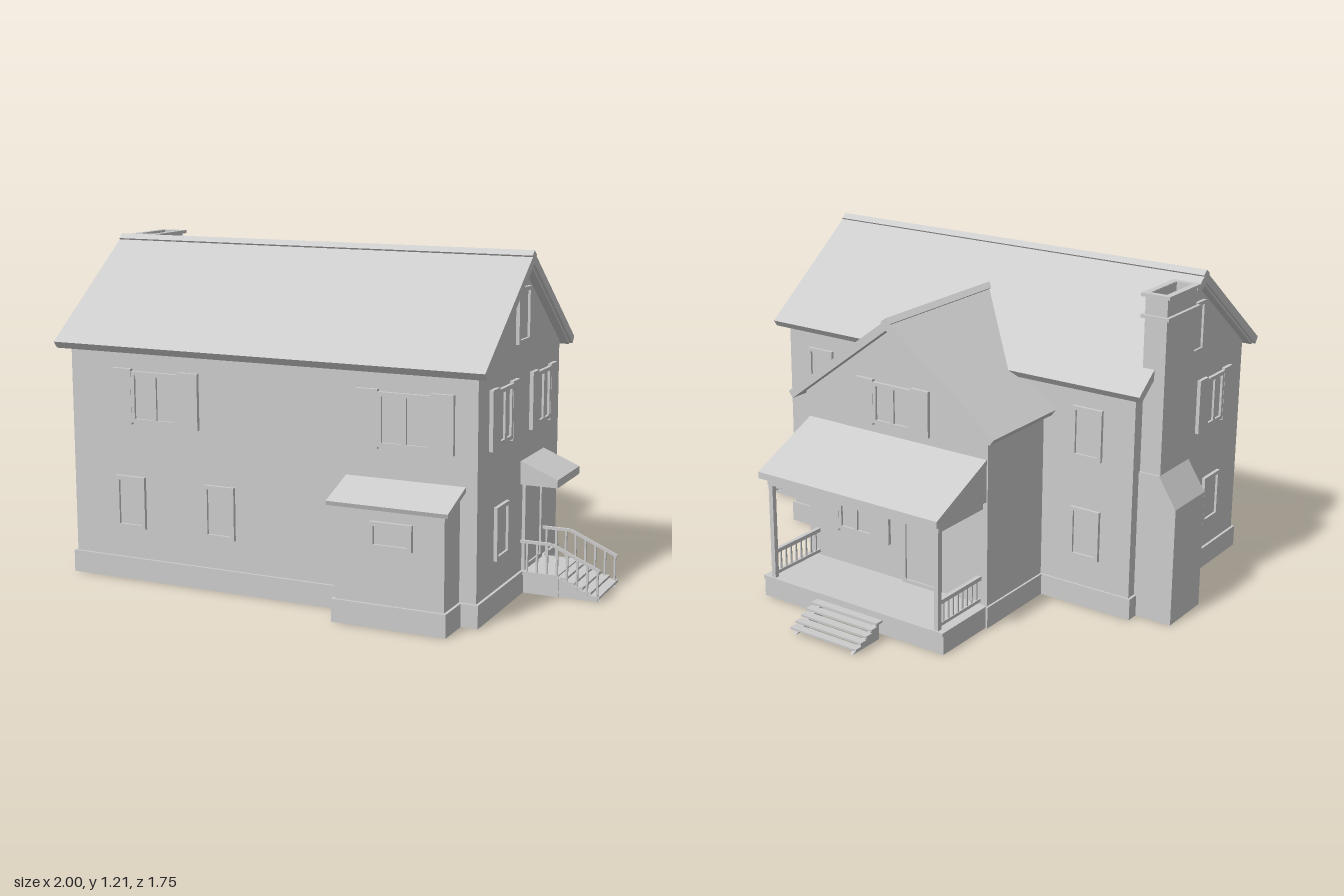
import * as THREE from 'three';

const mat = new THREE.MeshStandardMaterial({ color: 0xcccccc, flatShading: true, side: THREE.DoubleSide });
const SLOPE = 0.755;

export function createModel() {
  const house = new THREE.Group();
  house.name = 'house';

  const add = (name, geo, parent = house) => {
    const m = new THREE.Mesh(geo, mat);
    m.name = name;
    parent.add(m);
    return m;
  };
  const group = (name, x = 0, y = 0, z = 0, ry = 0, parent = house) => {
    const g = new THREE.Group();
    g.name = name;
    g.position.set(x, y, z);
    g.rotation.y = ry;
    parent.add(g);
    return g;
  };
  // Box given by its limits
  const box = (name, x0, x1, y0, y1, z0, z1, parent) =>
    add(name, new THREE.BoxGeometry(x1 - x0, y1 - y0, z1 - z0)
      .translate((x0 + x1) / 2, (y0 + y1) / 2, (z0 + z1) / 2), parent);
  // Square bar between two points
  const bar = (name, a, b, w, parent) => {
    const p = new THREE.Vector3(...a), q = new THREE.Vector3(...b);
    const m = new THREE.Mesh(new THREE.BoxGeometry(w, w, p.distanceTo(q)), mat);
    m.name = name;
    m.position.copy(p).lerp(q, 0.5);
    m.lookAt(q);
    parent.add(m);
  };
  const outline = (pts) => new THREE.Shape(pts.map((p) => new THREE.Vector2(...p)));
  const rect = (x0, x1, y0, y1) => outline([[x0, y0], [x1, y0], [x1, y1], [x0, y1]]);
  const ring = (x0, x1, y0, y1, t, depth) => {
    const s = rect(x0, x1, y0, y1);
    s.holes.push(rect(x0 + t, x1 - t, y0 + t, y1 - t));
    return new THREE.ExtrudeGeometry(s, { depth, bevelEnabled: false });
  };
  // Profiles swept along z (x, y points) or along x (z, y points)
  const prismZ = (pts, z0, z1) =>
    new THREE.ExtrudeGeometry(outline(pts), { depth: z1 - z0, bevelEnabled: false }).translate(0, 0, z0);
  const prismX = (pts, x0, x1) =>
    prismZ(pts, 0, x1 - x0).rotateY(-Math.PI / 2).translate(x1, 0, 0);
  // Drops the faces lying at height y, leaving the shell open underneath
  const openAt = (geo, y) => {
    const g = geo.index ? geo.toNonIndexed() : geo;
    const p = g.attributes.position, keep = [];
    for (let i = 0; i < p.count; i += 3) {
      if ([0, 1, 2].some((k) => Math.abs(p.getY(i + k) - y) > 1e-4)) keep.push(i, i + 1, i + 2);
    }
    g.setIndex(keep);
    return g;
  };
  const foundation = (x0, x1, z0, z1) =>
    add('foundation', ring(x0, x1, -z1, -z0, 0.015, 0.08).rotateX(-Math.PI / 2));

  const gable = (c, half, peak) => [[c - half, 0.08], [c + half, 0.08],
    [c + half, peak - half * SLOPE], [c, peak], [c - half, peak - half * SLOPE]];
  const chevron = (c, half, peak, t) => {
    const e = peak - half * SLOPE, dx = t * 0.6, dy = t * 0.8;
    return [[c, peak], [c - half, e], [c - half + dx, e - dy], [c, peak - t * 1.25],
      [c + half - dx, e - dy], [c + half, e]];
  };

  // Main block
  foundation(-0.86, 0.72, -0.098, 0.73);
  add('mainWalls', openAt(prismX(gable(0.315, 0.405, 1.166), -0.85, 0.71), 0.08));
  add('mainRoof', prismX(chevron(0.315, 0.455, 1.197, 0.03), -0.89, 0.75));
  add('mainRakeBoards', prismX(chevron(0.315, 0.44, 1.18, 0.025), -0.88, 0.74));
  add('mainRidgeCap', prismX(chevron(0.315, 0.022, 1.205, 0.01), -0.89, 0.75));

  // Rear wing, its roof running into the main roof
  foundation(-0.488, 0.338, -0.448, -0.09);
  add('wingWalls', openAt(prismZ(gable(-0.075, 0.405, 1.038), -0.44, -0.09), 0.08));
  const intoRoof = (geo) => {
    const p = geo.attributes.position;
    for (let i = 0; i < p.count; i++) {
      if (p.getZ(i) > 0) p.setZ(i, Math.max(-0.09, 0.315 - (1.197 - p.getY(i)) / SLOPE));
    }
    return geo;
  };
  add('wingRoof', intoRoof(prismZ(chevron(-0.075, 0.455, 1.068, 0.03), -0.48, 0.14)));
  add('wingRidgeCap', intoRoof(prismZ(chevron(-0.075, 0.022, 1.075, 0.01), -0.48, 0.14)));

  // Front lean-to
  foundation(0.25, 0.66, 0.72, 0.86);
  add('leanToWalls', openAt(prismX([[0.72, 0.08], [0.85, 0.08], [0.85, 0.4], [0.72, 0.44]], 0.26, 0.65), 0.08));
  add('leanToRoof', prismX([[0.72, 0.47], [0.875, 0.415], [0.87, 0.4], [0.72, 0.452]], 0.24, 0.67));

  // Chimney: sloped shoulder, two bands and a hollow top
  const chimney = group('chimney');
  add('chimneyBase', openAt(prismZ([[-1, 0], [-0.85, 0], [-0.85, 0.55], [-0.93, 0.55], [-1, 0.44]], -0.05, 0.165), 0), chimney);
  const flue = (name, x0, x1, z0, z1, t, y, h) =>
    add(name, ring(x0, x1, -z1, -z0, t, h).rotateX(-Math.PI / 2).translate(0, y, 0), chimney);
  flue('chimneyStack', -0.93, -0.845, -0.042, 0.165, 0.013, 0.55, 0.64);
  flue('lowerBand', -0.942, -0.833, -0.053, 0.176, 0.02, 1.105, 0.012);
  flue('topBand', -0.942, -0.833, -0.053, 0.176, 0.024, 1.18, 0.012);
  box('flueFloor', -0.92, -0.855, 1.12, 1.13, -0.035, 0.155, chimney);

  // Windows and doors, built facing local +z on each wall
  const walls = {
    front: group('frontOpenings', 0, 0, 0.72),
    back: group('backOpenings', 0, 0, -0.09, Math.PI),
    wing: group('wingOpenings', 0, 0, -0.44, Math.PI),
    left: group('leftOpenings', 0.71, 0, 0, Math.PI / 2),
    right: group('rightOpenings', -0.85, 0, 0, -Math.PI / 2),
    leanTo: group('leanToOpenings', 0, 0, 0.85),
  };
  const window_ = (wall, c, y0, y1, w, split = false) => {
    const g = group('window', c, 0, 0, 0, walls[wall]);
    add('frame', ring(-w / 2, w / 2, y0, y1, 0.014, 0.013), g);
    box('pane', -w / 2 + 0.01, w / 2 - 0.01, y0 + 0.01, y1 - 0.01, -0.004, 0.004, g);
    if (split) box('mullion', -0.008, 0.008, y0, y1, 0, 0.012, g);
    return g;
  };
  const shuttered = (wall, c, y0, y1, total, sh) => {
    const g = window_(wall, c, y0 + 0.008, y1 - 0.008, total - 2 * sh, true);
    for (const s of [-1, 1]) {
      const m = s * (total - sh) / 2;
      box('shutter', m - sh / 2, m + sh / 2, y0, y1, 0, 0.014, g);
    }
  };
  const door = (wall, c, w, y1) => {
    const g = group('door', c, 0, 0, 0, walls[wall]);
    add('doorFrame', ring(-w / 2, w / 2, 0.08, y1, 0.016, 0.012), g);
    box('doorPanel', -w / 2 + 0.012, w / 2 - 0.012, 0.085, y1 - 0.012, -0.004, 0.005, g);
  };
  for (const x of [-0.5, 0.455]) shuttered('front', x, 0.57, 0.77, 0.35, 0.08);
  for (const x of [-0.61, -0.247]) window_('front', x, 0.19, 0.38, 0.12);
  window_('leanTo', 0.465, 0.27, 0.36, 0.15);
  for (const z of [0.493, 0.1]) shuttered('left', -z, 0.57, 0.775, 0.256, 0.062);
  window_('left', -0.318, 0.89, 1.08, 0.12);
  window_('left', -0.505, 0.185, 0.37, 0.12);
  door('left', -0.19, 0.19, 0.4);
  shuttered('right', 0.493, 0.57, 0.775, 0.256, 0.062);
  window_('right', 0.318, 0.89, 1.08, 0.12);
  window_('right', 0.505, 0.185, 0.37, 0.12);
  for (const [y0, y1] of [[0.57, 0.76], [0.19, 0.38]]) window_('back', 0.665, y0, y1, 0.12);
  window_('back', -0.55, 0.57, 0.76, 0.12);
  window_('back', -0.505, 0.19, 0.38, 0.25);
  shuttered('wing', 0.075, 0.66, 0.83, 0.32, 0.075);
  shuttered('wing', -0.1, 0.21, 0.39, 0.31, 0.075);
  door('wing', 0.2, 0.17, 0.4);

  // Open stairs descending along local +z from height 0.08
  const stairs = (g, n, width, run) => {
    const d = run / n;
    for (let i = 0; i < n; i++) {
      const y = 0.075 - i * 0.065 / n;
      box('tread', -width / 2, width / 2, y - 0.008, y, i * d - 0.003, (i + 1) * d, g);
    }
    for (const s of [-1, 1]) {
      add('stringer', prismX([[0, 0], [run, 0], [0, 0.066]], -0.006, 0.006), g)
        .position.x = s * (width / 2 - 0.02);
    }
  };

  // Rear porch
  const porch = group('porch');
  foundation(-0.48, 0.33, -0.7, -0.44);
  box('porchFloor', -0.48, 0.33, 0.068, 0.082, -0.705, -0.44, porch);
  add('porchRoof', prismX([[-0.44, 0.63], [-0.73, 0.5], [-0.73, 0.475], [-0.44, 0.475]], -0.475, 0.315), porch);
  add('porchBeam', ring(-0.46, 0.3, 0.44, 0.7, 0.025, 0.035).rotateX(-Math.PI / 2).translate(0, 0.445, 0), porch);
  for (const x of [-0.448, 0.288]) {
    box('porchPost', x - 0.009, x + 0.009, 0.08, 0.45, -0.698, -0.68, porch);
    box('handrail', x - 0.008, x + 0.008, 0.175, 0.19, -0.69, -0.44, porch);
    box('bottomRail', x - 0.006, x + 0.006, 0.092, 0.104, -0.69, -0.44, porch);
    for (let i = 0; i < 8; i++) bar('baluster', [x, 0.1, -0.46 - i * 0.028], [x, 0.18, -0.46 - i * 0.028], 0.006, porch);
  }
  stairs(group('porchStairs', -0.095, 0, -0.735, Math.PI, porch), 5, 0.295, 0.145);

  // Side entrance: canopy, landing, stairs and railings
  const entry = group('sideEntrance');
  add('canopy', prismZ([[0.71, 0.475], [0.845, 0.42], [0.845, 0.392], [0.71, 0.392]], 0.065, 0.308), entry);
  box('landing', 0.71, 0.85, 0.066, 0.08, 0.07, 0.3, entry);
  for (const z of [0.085, 0.285]) box('landingSide', 0.71, 0.85, 0, 0.068, z - 0.006, z + 0.006, entry);
  stairs(group('sideStairs', 0.85, 0, 0.185, Math.PI / 2, entry), 5, 0.23, 0.15);
  for (const z of [0.085, 0.295]) {
    bar('handrail', [0.71, 0.187, z], [0.825, 0.187, z], 0.01, entry);
    bar('handrail', [0.825, 0.187, z], [0.998, 0.112, z], 0.01, entry);
    for (let i = 0; i < 8; i++) {
      const x = 0.735 + i * 0.0365;
      const drop = Math.max(0, x - 0.825) * 0.43;
      bar('baluster', [x, 0.075 - drop, z], [x, 0.187 - drop, z], 0.007, entry);
    }
  }
  return house;
}
